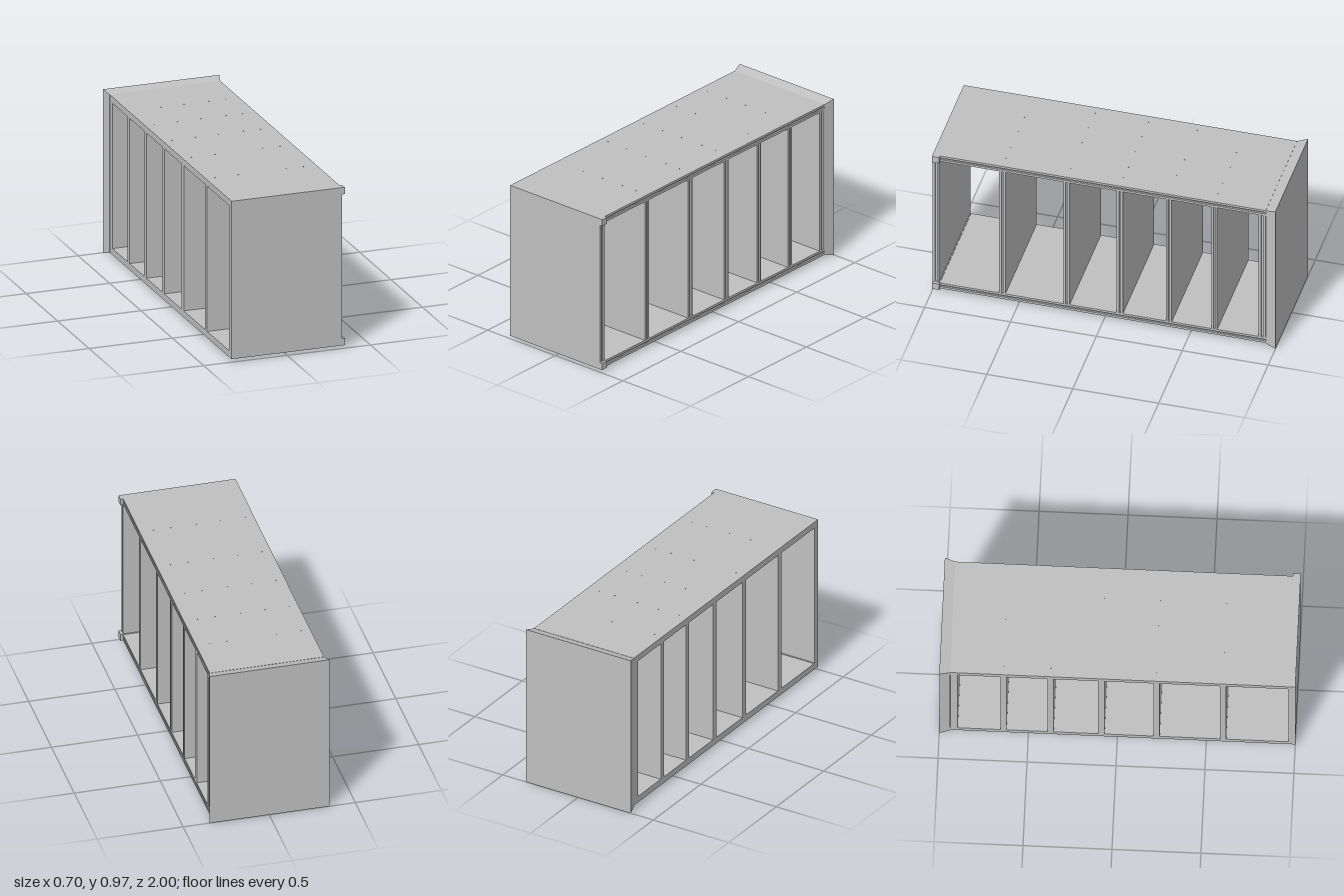
import * as THREE from 'three';

export function createModel() {
  const group = new THREE.Group();
  const grey = new THREE.MeshStandardMaterial({ color: 0xc0c0c0 });
  grey.name = 'grey';

  const BACK = -0.333, FRONT = 0.33, GROOVE = 0.32; // depth of the case along x
  const BOTTOM = 0.018, TOP = 0.957, T = 0.038; // case height and board thickness

  // Box given by its lower and upper limits
  function box(name, x0, x1, y0, y1, z0, z1) {
    const mesh = new THREE.Mesh(new THREE.BoxGeometry(x1 - x0, y1 - y0, z1 - z0), grey);
    mesh.position.set((x0 + x1) / 2, (y0 + y1) / 2, (z0 + z1) / 2);
    mesh.name = name;
    group.add(mesh);
    return mesh;
  }

  // Board with two raised trim strips on its +x edge
  function board(name, y0, y1, z0, z1) {
    box(name, BACK, GROOVE, y0, y1, z0, z1);
    if (y1 - y0 < z1 - z0) {
      const w = (y1 - y0) * 0.36;
      box(name + 'TrimLower', GROOVE, FRONT, y0, y0 + w, z0, z1);
      box(name + 'TrimUpper', GROOVE, FRONT, y1 - w, y1, z0, z1);
    } else {
      const w = (z1 - z0) * 0.36;
      box(name + 'TrimBack', GROOVE, FRONT, y0, y1, z0, z0 + w);
      box(name + 'TrimFront', GROOVE, FRONT, y0, y1, z1 - w, z1);
    }
  }

  // Two long side boards
  board('lowerSide', BOTTOM, BOTTOM + T, -0.94, 0.957);
  board('upperSide', TOP - T, TOP, -0.94, 0.957);

  // Plinth strips that close the front end and stick out past the trim
  box('lowerPlinth', BACK, 0.346, BOTTOM, BOTTOM + T + 0.003, 0.957, 1);
  box('upperPlinth', BACK, 0.346, TOP - T - 0.003, TOP, 0.957, 1);

  // End panels and shelves: [centre z, thickness]
  const shelves = [[0.981, 0.038], [0.594, 0.036], [0.22, 0.036], [-0.09, 0.036],
    [-0.375, 0.034], [-0.64, 0.034], [-0.918, 0.042]];
  shelves.forEach(([z, t], i) => {
    const name = i === 0 ? 'frontPanel' : i === 6 ? 'backPanel' : 'shelf' + i;
    board(name, BOTTOM + T, TOP - T, z - t / 2, z + t / 2);
  });

  // Flared cap on the back end
  const cap = box('flaredCap', -0.35, 0.346, 0, 0.972, -1, -0.94);
  const p = cap.geometry.attributes.position;
  for (let i = 0; i < p.count; i++) {
    if (p.getZ(i) > 0) p.setXY(i, p.getX(i) * 0.955, p.getY(i) * 0.966);
  }
  cap.geometry.computeVertexNormals();

  // Tiny nail heads above and below each inner shelf
  const nail = new THREE.CylinderGeometry(0.003, 0.003, 0.004, 6);
  for (const [z] of shelves.slice(1, 6)) {
    for (const x of [-0.28, -0.14, 0.0, 0.15, 0.25]) {
      for (const y of [BOTTOM, TOP]) {
        const head = new THREE.Mesh(nail, grey);
        head.position.set(x, y, z);
        head.name = 'nailHead';
        group.add(head);
      }
    }
  }
  return group;
}
